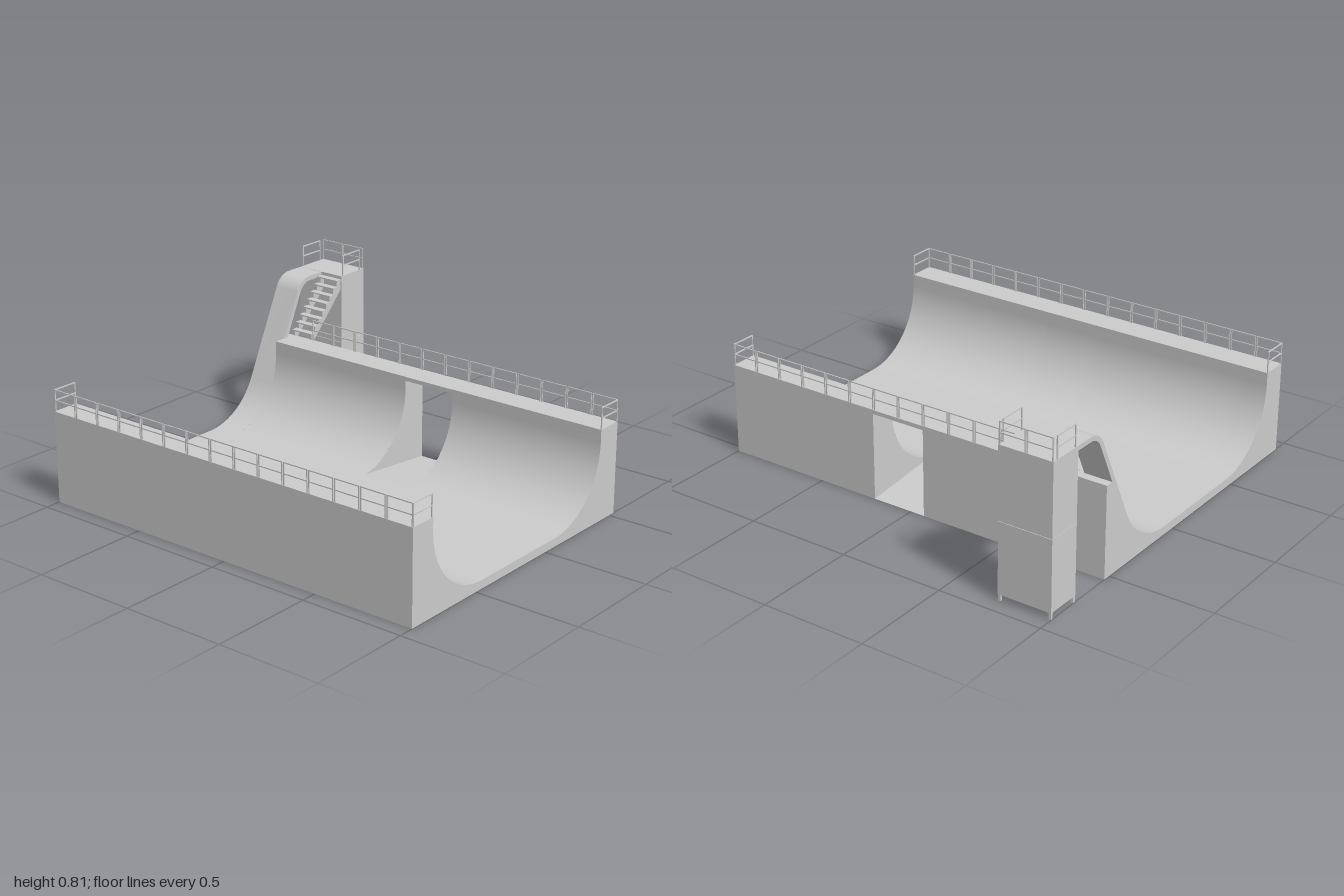
import * as THREE from 'three';

const mat = new THREE.MeshStandardMaterial({ color: 0xcccccc, side: THREE.DoubleSide });

// Main dimensions
const DECK = 0.435, FLOOR = 0.04, R = 0.335, CY = FLOOR + R;
const BACK = -0.535, FRONT = 0.925, BZ = -0.07, FZ = 0.46;
const LIP_B = BZ - R, LIP_F = FZ + R;
const ROLL_X = -0.865, TOWER_X = -0.74, DOOR = [-0.07, 0.2];
const TOP = 0.705, ANGLE = THREE.MathUtils.degToRad(64.5);

function add(group, name, geometry, x = 0, y = 0, z = 0) {
  const m = new THREE.Mesh(geometry, mat);
  m.name = name;
  m.position.set(x, y, z);
  group.add(m);
  return m;
}

function box(group, name, x0, x1, y0, y1, z0, z1) {
  return add(group, name, new THREE.BoxGeometry(x1 - x0, y1 - y0, z1 - z0),
    (x0 + x1) / 2, (y0 + y1) / 2, (z0 + z1) / 2);
}

// Smooth sheet: a [z, y] profile swept along x
function sheet(group, name, profile, x0, x1) {
  const pos = [], idx = [];
  profile.forEach(([z, y], i) => {
    pos.push(x0, y, z, x1, y, z);
    if (i) {
      const a = 2 * i - 2;
      idx.push(a, a + 2, a + 1, a + 1, a + 2, a + 3);
    }
  });
  const g = new THREE.BufferGeometry();
  g.setAttribute('position', new THREE.Float32BufferAttribute(pos, 3));
  g.setIndex(idx);
  g.computeVertexNormals();
  return add(group, name, g);
}

// Flat panel in a plane of constant x, outlined by [z, y] points
function panel(group, name, outline, x) {
  const g = new THREE.ShapeGeometry(new THREE.Shape(outline.map(p => new THREE.Vector2(...p))));
  g.rotateY(-Math.PI / 2);
  return add(group, name, g, x);
}

// Points on an arc; angle is measured from straight down (+ toward +z)
function arc(cz, cy, r, a0, a1, n) {
  return Array.from({ length: n + 1 }, (_, i) => {
    const a = a0 + (a1 - a0) * i / n;
    return [cz + r * Math.sin(a), cy - r * Math.cos(a)];
  });
}

// One guard-rail panel between two ground points
function railPanel(group, x0, z0, x1, z1, y, h = 0.103) {
  const t = 0.0025, dx = x1 - x0, dz = z1 - z0, len = Math.hypot(dx, dz);
  const p = new THREE.Group();
  p.name = 'railPanel';
  for (const s of [-1, 1]) {
    const px = s * (len / 2 - 0.005);
    box(p, 'railPost', px - t, px + t, 0, h, -t, t);
  }
  for (const ry of [h - t, h * 0.5])
    box(p, 'railBar', -len / 2 + 0.005, len / 2 - 0.005, ry - t, ry + t, -t, t);
  p.position.set((x0 + x1) / 2, y, (z0 + z1) / 2);
  p.rotation.y = -Math.atan2(dz, dx);
  group.add(p);
}

function railRow(group, x0, x1, z, y, n) {
  for (let i = 0; i < n; i++)
    railPanel(group, x0 + (x1 - x0) * i / n, z, x0 + (x1 - x0) * (i + 1) / n, z, y);
}

export function createModel() {
  const model = new THREE.Group();
  model.name = 'halfPipeRamp';
  const part = name => {
    const g = new THREE.Group();
    g.name = name;
    model.add(g);
    return g;
  };

  // Profiles, running from back to front
  const frontCurve = [...arc(FZ, CY, R, 0, Math.PI / 2, 24), [LIP_F, DECK]];
  const backCurve = [[LIP_B, DECK], ...arc(BZ, CY, R, -Math.PI / 2, 0, 24)];
  const doorAngle = -Math.asin(0.04 / R);
  const doorLip = arc(BZ, CY, R, doorAngle, 0, 3);
  const lowArc = arc(BZ, CY, R, -ANGLE, 0, 18);
  const tangent = lowArc[0], slope = Math.tan(ANGLE);
  const rollFoot = [tangent[0] - (DECK - tangent[1]) / slope, DECK];
  const crestR = 0.1, crestY = TOP - crestR;
  const crestEndY = crestY + crestR * Math.cos(ANGLE);
  const crestZ = tangent[0] - (crestEndY - tangent[1]) / slope - crestR * Math.sin(ANGLE);
  const crest = r => arc(crestZ, crestY, r, Math.PI, Math.PI - ANGLE, 14);

  // Riding surface, with a cut for the doorway and a roll-in lane
  const ramp = part('ramp');
  sheet(ramp, 'ridingSurface', [...backCurve, ...frontCurve], ROLL_X, DOOR[0]);
  sheet(ramp, 'ridingSurface', [...backCurve, ...frontCurve], DOOR[1], 1);
  sheet(ramp, 'ridingSurface', [...doorLip, ...frontCurve], ...DOOR);
  sheet(ramp, 'rollInSurface', [[-0.75, TOP], ...crest(crestR), ...lowArc, ...frontCurve], -1, ROLL_X);

  // Decks and outer walls, open underneath
  sheet(ramp, 'frontDeck', [[LIP_F, DECK], [FRONT, DECK]], -1, 1);
  sheet(ramp, 'backDeck', [[BACK, DECK], [LIP_B, DECK]], ROLL_X, 1);
  sheet(ramp, 'backDeckCorner', [[BACK, DECK], rollFoot], -1, ROLL_X);
  sheet(ramp, 'frontWall', [[FRONT, DECK], [FRONT, 0]], -1, 1);
  sheet(ramp, 'backWall', [[BACK, 0], [BACK, DECK]], -1, DOOR[0]);
  sheet(ramp, 'backWall', [[BACK, 0], [BACK, DECK]], DOOR[1], 1);
  const closing = [[FRONT, DECK], [FRONT, 0], [BACK, 0], [BACK, DECK]];
  panel(ramp, 'leftEndPanel', [...backCurve, ...frontCurve, ...closing], 1);
  panel(ramp, 'rightEndPanel', [rollFoot, ...lowArc, ...frontCurve, ...closing], -1);
  const lipArc = arc(BZ, CY, R, -Math.PI / 2, -ANGLE, 8);
  panel(ramp, 'rollInCheek', [rollFoot, [LIP_B, DECK], ...lipArc], ROLL_X);

  // Doorway through the back curve
  const door = part('doorway');
  const lintel = DECK - 0.02;
  const doorSide = [[BACK, lintel], [LIP_B, lintel],
    ...arc(BZ, CY, R, -Math.PI / 2, doorAngle, 20), [BACK, 0]];
  for (const x of DOOR) panel(door, 'doorSideWall', doorSide, x);
  sheet(door, 'doorFloor', [[BACK, 0], doorLip[0]], ...DOOR);
  box(door, 'doorLintel', ...DOOR, lintel, DECK - 0.001, BACK, LIP_B);

  // Underside and edges of the raised roll-in
  const rollIn = part('rollIn');
  const t = 0.022;
  const lowerFoot = [rollFoot[0] - t * Math.sin(ANGLE), rollFoot[1] - t * Math.cos(ANGLE)];
  const under = [[-0.75, TOP - t], ...crest(crestR - t), lowerFoot];
  sheet(rollIn, 'rollInUnderside', [...under].reverse(), -1, ROLL_X);
  for (const x of [-1, ROLL_X])
    panel(rollIn, 'rollInEdge', [[-0.75, TOP], ...crest(crestR), rollFoot, ...[...under].reverse()], x);

  // Tower with legs and a seam between its two blocks
  const tower = part('tower');
  box(tower, 'towerLowerBlock', -1, TOWER_X, 0.03, 0.364, -0.925, -0.752);
  box(tower, 'towerUpperBlock', -1, TOWER_X, 0.366, TOP, -0.925, -0.752);
  for (const x of [-0.993, TOWER_X - 0.007])
    for (const z of [-0.918, -0.759])
      box(tower, 'towerLeg', x - 0.006, x + 0.006, 0, 0.03, z - 0.006, z + 0.006);

  // Stairs from the back deck to the tower
  const stairs = part('stairs');
  const steps = 8, z0 = -0.53, run = (0.752 - 0.53) / steps, rise = (TOP - DECK) / (steps + 0.5);
  const saw = [[z0, DECK]];
  for (let i = 0; i < steps; i++) {
    const y = DECK + rise * (i + 1);
    saw.push([z0 - run * i, y - 0.004], [z0 - run * (i + 1), y - 0.004]);
    box(stairs, 'tread', ROLL_X + 0.002, TOWER_X, y - 0.006, y, z0 - run * (i + 1), z0 - run * i + 0.006);
  }
  saw.push([-0.752, 0.635], [z0 - 0.012, 0.42], [z0, 0.42]);
  const sawShape = new THREE.Shape(saw.map(p => new THREE.Vector2(...p)));
  for (const x of [ROLL_X + 0.016, TOWER_X - 0.006]) {
    const g = new THREE.ExtrudeGeometry(sawShape, { depth: 0.008, bevelEnabled: false });
    g.rotateY(-Math.PI / 2);
    add(stairs, 'stringer', g, x);
  }

  // Guard rails along the decks and on the tower
  const rails = part('guardRails');
  railRow(rails, -1, 1, FRONT - 0.004, DECK, 15);
  railRow(rails, TOWER_X, 1, BACK + 0.004, DECK, 13);
  for (const x of [-0.997, 0.997]) railPanel(rails, x, LIP_F, x, FRONT, DECK);
  railPanel(rails, 0.997, BACK, 0.997, LIP_B, DECK);
  railRow(rails, -1, TOWER_X, -0.921, TOP, 2);
  for (const x of [-0.997, TOWER_X - 0.003]) railPanel(rails, x, -0.9, x, -0.763, TOP);

  return model;
}
